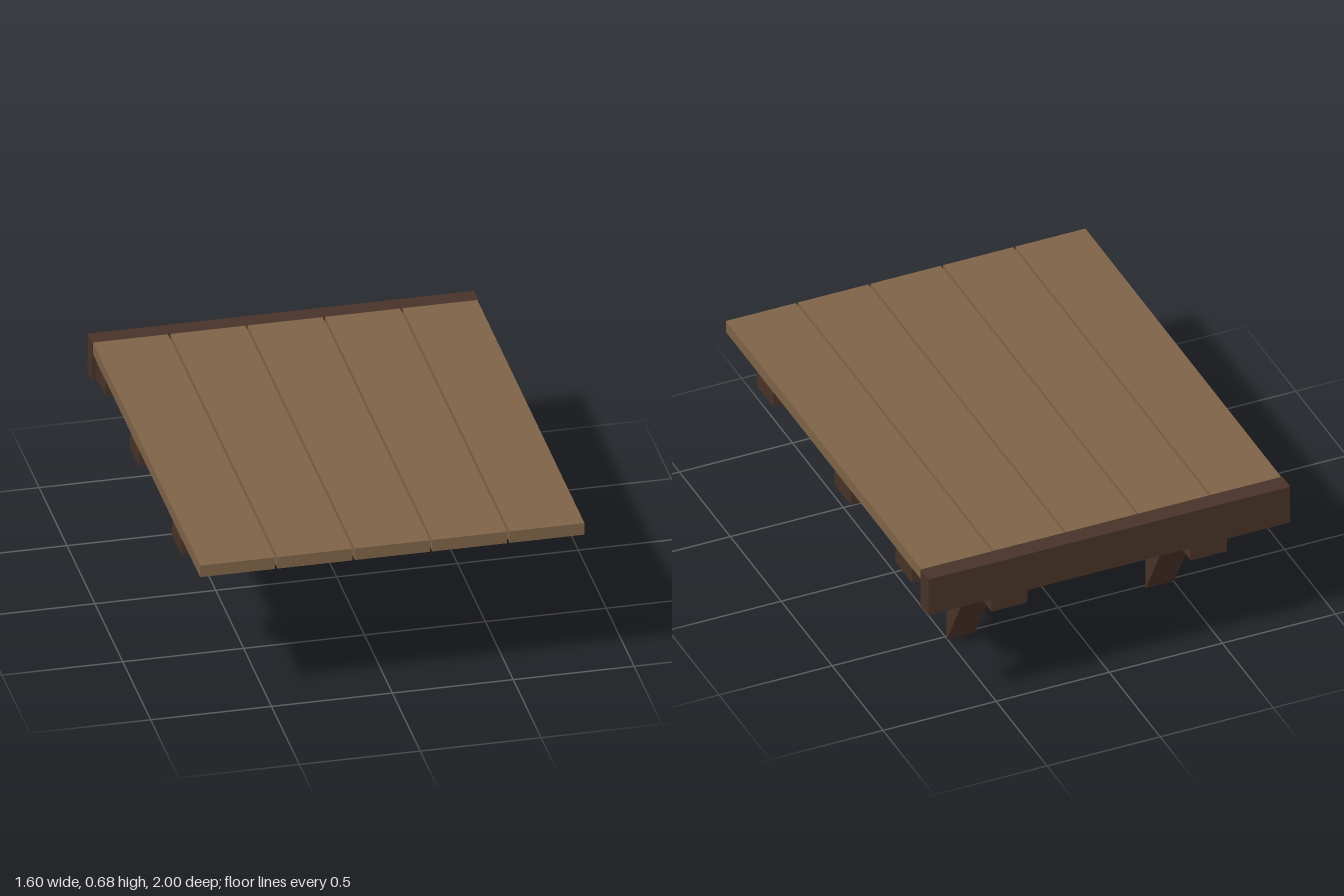
import * as THREE from 'three';

export function createModel() {
  const model = new THREE.Group();
  const plankMat = new THREE.MeshStandardMaterial({ color: 0x7d6347, flatShading: true });
  const frameMat = new THREE.MeshStandardMaterial({ color: 0x483328, flatShading: true });

  // Box given by its lower and upper corners
  function box(name, mat, [x0, y0, z0], [x1, y1, z1]) {
    const mesh = new THREE.Mesh(new THREE.BoxGeometry(x1 - x0, y1 - y0, z1 - z0), mat);
    mesh.position.set((x0 + x1) / 2, (y0 + y1) / 2, (z0 + z1) / 2);
    mesh.name = name;
    model.add(mesh);
  }

  // Deck planks running front to back, with narrow gaps
  for (let i = -2; i <= 2; i++) {
    const x = i * 0.32;
    box('plank', plankMat, [x - 0.155, 0.63, -0.922], [x + 0.155, 0.683, 1]);
  }

  // Cross battens under the planks
  for (const z of [0.6, -0.16, -0.76]) {
    box('batten', frameMat, [-0.8, 0.566, z - 0.08], [0.8, 0.63, z + 0.08]);
  }

  // Wall board along the back edge
  box('backBoard', frameMat, [-0.8, 0.507, -1], [0.8, 0.683, -0.922]);

  // Support brackets: hollowed wedge, extruded across x
  const profile = new THREE.Shape(
    [[0.52, 0], [0.68, 0.285], [0.915, 0.505], [0.915, 0.564], [0.52, 0.564]]
      .map(([d, y]) => new THREE.Vector2(d, y)));
  const bracketGeo = new THREE.ExtrudeGeometry(profile, { depth: 0.126, bevelEnabled: false });
  bracketGeo.translate(0, 0, -0.063).rotateY(Math.PI / 2); // profile depth becomes -z

  for (const x of [-0.44, 0.44]) {
    const bracket = new THREE.Mesh(bracketGeo, frameMat);
    bracket.position.x = x;
    bracket.name = 'bracket';
    model.add(bracket);
    // Mounting block behind the bracket
    box('mountingBlock', frameMat, [x - 0.08, 0.445, -0.999], [x + 0.08, 0.563, -0.904]);
  }
  return model;
}
